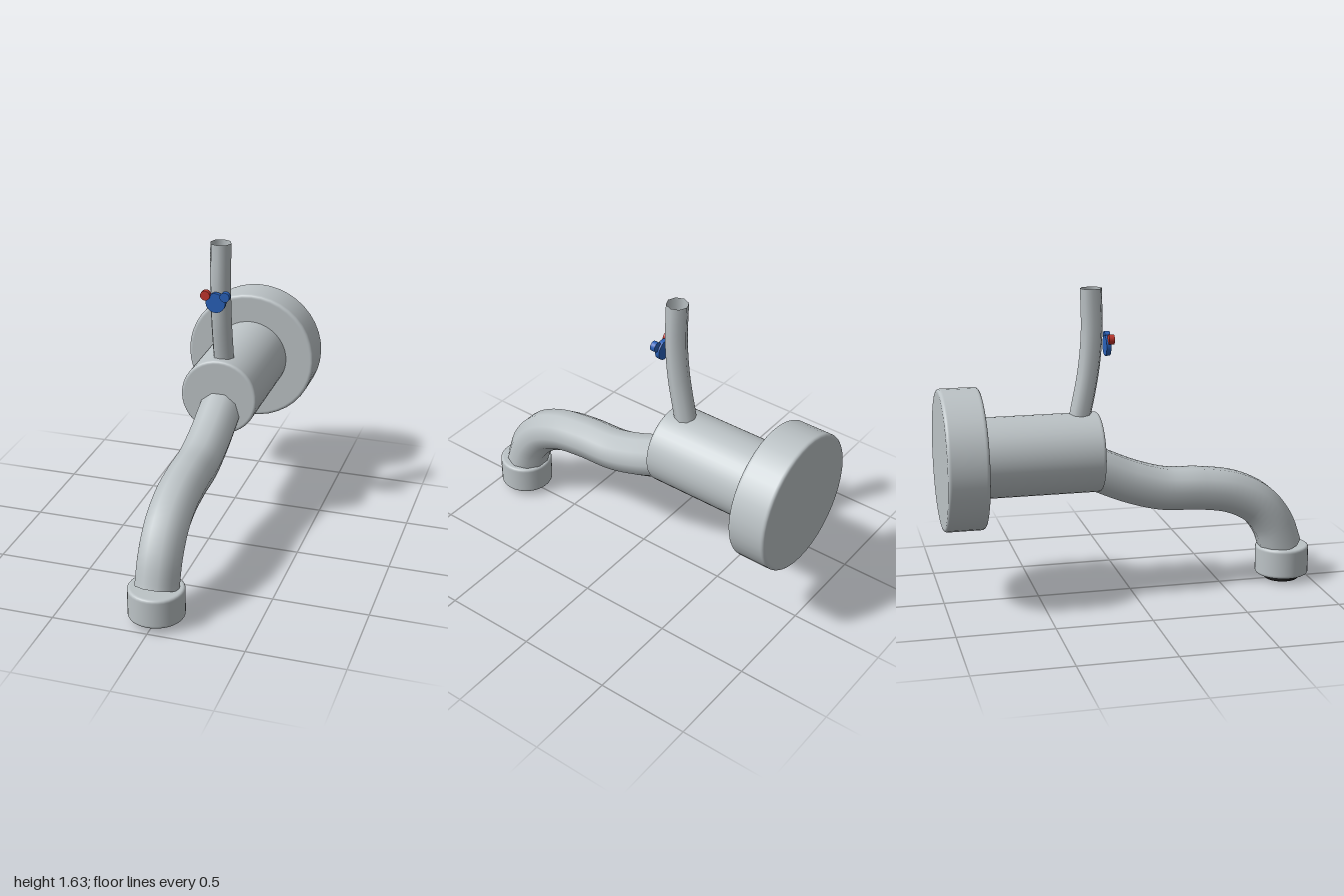
import * as THREE from 'three';

const material = (name, color, side = THREE.FrontSide) => {
  const m = new THREE.MeshStandardMaterial({ color, side });
  m.name = name;
  return m;
};

// Solid disc or cylinder along y, from y = 0 to h, with a small rounded rim
function roundedCylinder(r, h, bevel, sides) {
  const pts = [[0, 0], [r - bevel * 1.3, 0]];
  for (let i = 0; i <= 4; i++) {
    const a = (i / 4) * Math.PI / 2;
    pts.push([r - bevel + bevel * Math.sin(a), bevel - bevel * Math.cos(a)]);
  }
  pts.push([r, bevel * 1.3]);
  const upper = pts.map(([x, y]) => [x, h - y]).reverse();
  const profile = [...pts, ...upper].map(([x, y]) => new THREE.Vector2(x, y));
  return new THREE.LatheGeometry(profile, sides);
}

// Open tube along a curve in the x = 0 plane, points given as [y, z]
function sweep(points, radius, steps, sides) {
  const curve = new THREE.CatmullRomCurve3(points.map(([y, z]) => new THREE.Vector3(0, y, z)));
  return new THREE.TubeGeometry(curve, steps, radius, sides, false);
}

export function createModel() {
  const group = new THREE.Group();
  const metal = material('brushedMetal', 0xbcc3c6, THREE.DoubleSide);
  const blue = material('coldBlue', 0x2860b8);
  const red = material('hotRed', 0xc0342b);
  const black = material('blackRubber', 0x1a1a1a);

  const add = (name, geometry, mat, x = 0, y = 0, z = 0) => {
    const mesh = new THREE.Mesh(geometry, mat);
    mesh.name = name;
    mesh.position.set(x, y, z);
    group.add(mesh);
  };

  // Wall mount and valve body, lying along z
  const axisY = 0.77;
  add('wallFlange', roundedCylinder(0.368, 0.21, 0.016, 40).rotateX(Math.PI / 2), metal, 0, axisY, -1);
  add('valveBody', roundedCylinder(0.21, 0.64, 0.014, 40).rotateX(Math.PI / 2), metal, 0, axisY, -0.81);

  // Curved spout
  add('spout', sweep([
    [0.715, -0.28], [0.68, -0.19], [0.6, 0], [0.55, 0.18], [0.538, 0.38],
    [0.507, 0.56], [0.435, 0.7], [0.32, 0.793], [0.18, 0.845],
  ], 0.117, 40, 10), metal);

  // Outlet collar and aerator
  add('outletCollar', roundedCylinder(0.145, 0.16, 0.014, 32), metal, 0, 0.03, 0.855);
  add('aerator', roundedCylinder(0.093, 0.04, 0.006, 32), black, 0, 0, 0.855);

  // Lever, open at the top
  add('lever', sweep([
    [0.92, -0.277], [0.98, -0.265], [1.2, -0.222], [1.4, -0.203], [1.63, -0.205],
  ], 0.057, 20, 8), metal);

  // Temperature marker with a hot and a cold dot
  const disc = (r, h) => new THREE.CylinderGeometry(r, r, h, 24).rotateX(Math.PI / 2);
  add('markerDisc', disc(0.053, 0.024), blue, 0, 1.33, -0.123);
  add('hotDot', disc(0.026, 0.028), red, -0.053, 1.37, -0.112);
  add('coldDot', disc(0.026, 0.028), blue, 0.053, 1.37, -0.112);

  return group;
}
